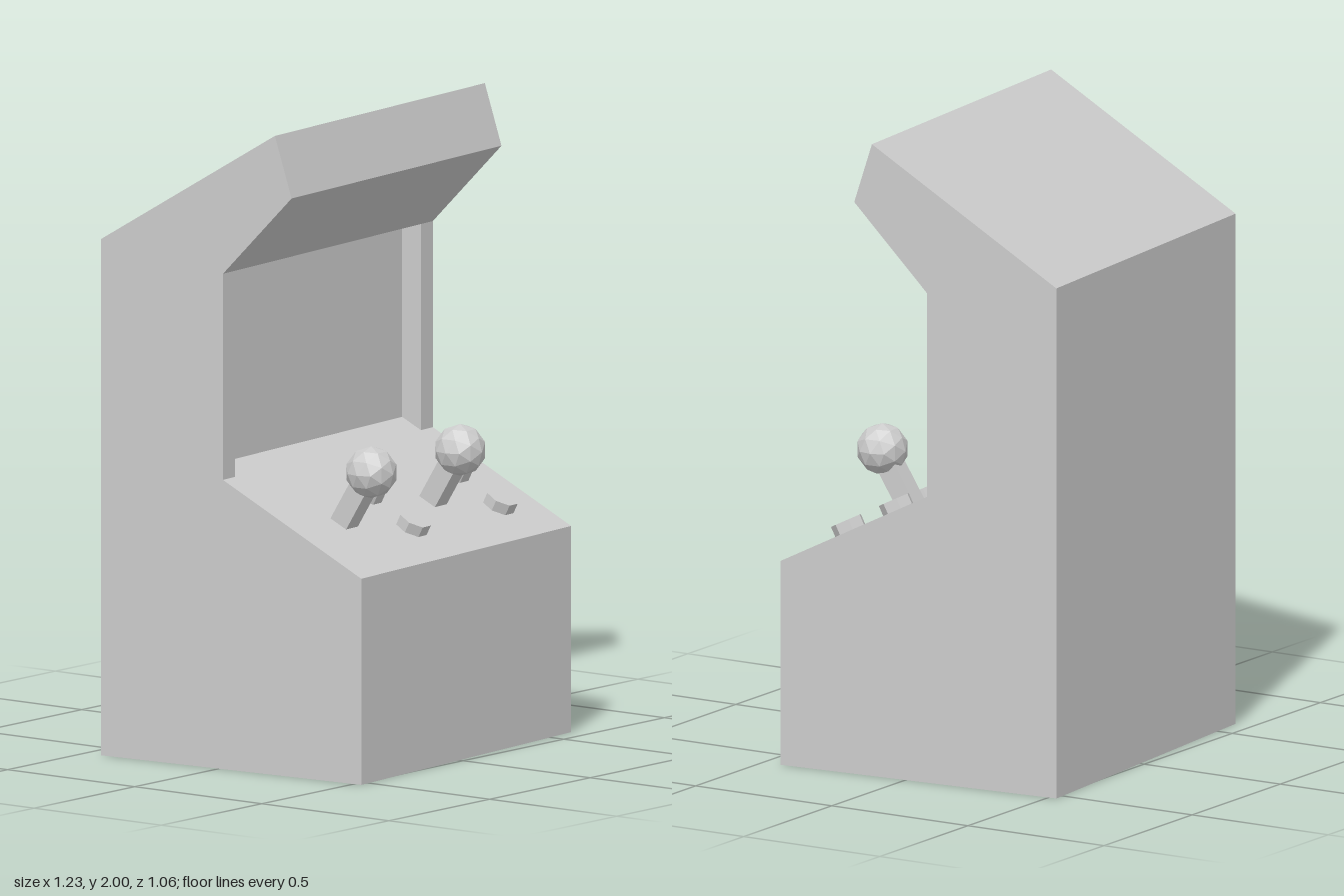
import * as THREE from 'three';

const W = 0.58;      // half width of the cabinet
const IN = 0.514;    // half width of the screen recess
const YAW = 0.0777;  // the whole cabinet stands slightly turned
const PITCH = Math.atan2(0.26, 0.514); // slope of the control panel

// side profile as [z, y], starting at the bottom front and going up
const profile = [
  [0.484, 0], [0.484, 0.645], [-0.03, 0.905], [-0.03, 1.55],
  [0.225, 1.81], [0.163, 2], [-0.484, 1.615], [-0.484, 0],
];
const recess = [[-0.03, 0.905], [-0.1, 0.94], [-0.1, 1.55], [-0.03, 1.55]];

// collects flat faces into one geometry
function faceBuilder() {
  const pos = [];
  const put = (x, p) => pos.push(x, p[1], p[0]);
  return {
    // strip between two profile points, spanning x0 to x1
    strip(a, b, x0, x1) {
      put(x0, a); put(x1, a); put(x1, b);
      put(x0, a); put(x1, b); put(x0, b);
    },
    // flat polygon at x, facing +x (dir 1) or -x (dir -1)
    wall(points, x, dir) {
      const pts = points.map(([z, y]) => new THREE.Vector2(z, y));
      for (const [i, j, k] of THREE.ShapeUtils.triangulateShape(pts, [])) {
        const area = THREE.ShapeUtils.area([pts[i], pts[j], pts[k]]);
        const order = area * dir < 0 ? [i, j, k] : [i, k, j];
        order.forEach((n) => put(x, points[n]));
      }
    },
    build() {
      const g = new THREE.BufferGeometry();
      g.setAttribute('position', new THREE.Float32BufferAttribute(pos, 3));
      g.computeVertexNormals();
      return g;
    },
  };
}

export function createModel() {
  const model = new THREE.Group();
  model.name = 'arcadeCabinet';
  const grey = new THREE.MeshStandardMaterial({ color: 0xcccccc, flatShading: true });
  grey.name = 'light grey';
  const add = (name, geometry, parent = model) => {
    const mesh = new THREE.Mesh(geometry, grey);
    mesh.name = name;
    parent.add(mesh);
    return mesh;
  };

  // cabinet shell; the edge above the panel is split around the screen
  const shell = faceBuilder();
  profile.forEach((a, i) => {
    const b = profile[(i + 1) % profile.length];
    if (i === 2) {
      shell.strip(a, b, -W, -IN);
      shell.strip(a, b, IN, W);
    } else shell.strip(a, b, -W, W);
  });
  shell.wall(profile, W, 1);
  shell.wall(profile, -W, -1);
  add('cabinet', shell.build());

  // sunken screen with its floor, ceiling and side walls
  const screen = faceBuilder();
  for (let i = 0; i < 3; i++) screen.strip(recess[i], recess[i + 1], -IN, IN);
  screen.wall(recess, -IN, 1);
  screen.wall(recess, IN, -1);
  add('screenRecess', screen.build());

  // one joystick and four buttons' worth of controls per player
  const base = new THREE.Vector3(0, 0.755, 0.246);
  const top = new THREE.Vector3(0, 0.93, 0.352);
  [-0.328, 0.163].forEach((x, player) => {
    const controls = new THREE.Group();
    controls.name = `controls${player + 1}`;
    controls.position.x = x;
    model.add(controls);

    const stick = add('joystickShaft', new THREE.BoxGeometry(0.065, base.distanceTo(top), 0.065), controls);
    stick.position.addVectors(base, top).multiplyScalar(0.5);
    stick.rotation.x = Math.atan2(top.z - base.z, top.y - base.y);

    const ball = add('joystickBall', new THREE.IcosahedronGeometry(0.081, 1), controls);
    ball.position.copy(top);

    // seven-sided buttons lying on the sloped panel
    for (const z of [0.337, 0.169]) {
      const button = add('button', new THREE.CylinderGeometry(0.052, 0.052, 0.07, 7, 1, false, Math.PI), controls);
      button.position.set(player ? 0.232 : 0.243, 0.645 + (0.484 - z) * 0.506, z);
      button.rotation.x = PITCH;
    }
  });

  model.rotation.y = YAW;
  return model;
}
